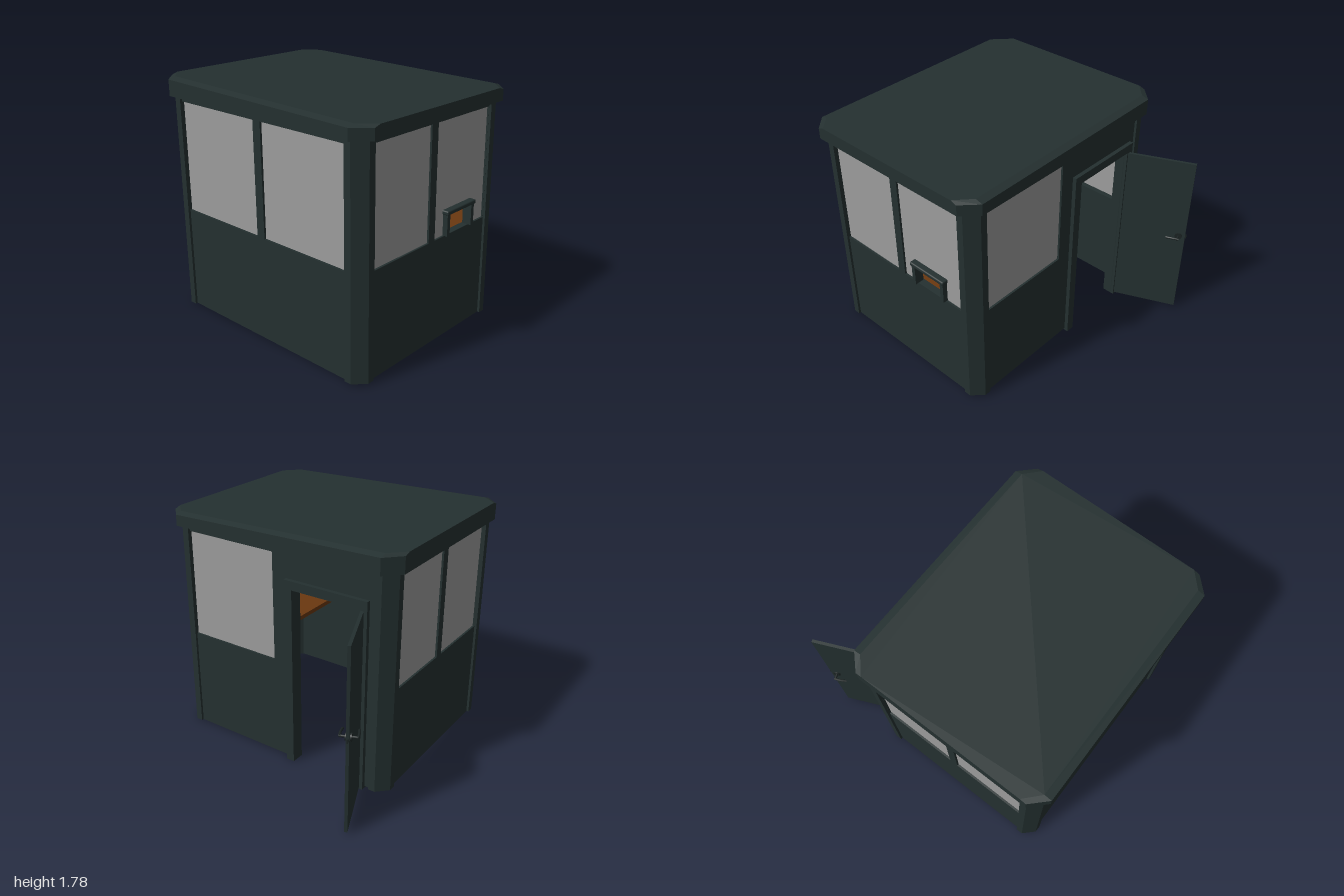
import * as THREE from 'three';
import { RoundedBoxGeometry } from 'three/addons/geometries/RoundedBoxGeometry.js';

const mat = (name, color, side = THREE.FrontSide) => {
  const m = new THREE.MeshStandardMaterial({ color, side });
  m.name = name;
  return m;
};

export function createModel() {
  const paint = mat('darkGreenPaint', 0x243030);
  const glass = mat('greyGlass', 0x9c9c9c, THREE.DoubleSide);
  const wood = mat('brownWood', 0x6b3810);
  const metal = mat('darkMetal', 0x1b2323);

  const model = new THREE.Group();
  model.name = 'guardBooth';

  const add = (parent, name, geometry, material, x = 0, y = 0, z = 0) => {
    const m = new THREE.Mesh(geometry, material);
    m.name = name;
    m.position.set(x, y, z);
    parent.add(m);
    return m;
  };
  // Box given by its limits on each axis
  const box = (parent, name, material, x0, x1, y0, y1, z0, z1) =>
    add(parent, name, new THREE.BoxGeometry(x1 - x0, y1 - y0, z1 - z0), material,
      (x0 + x1) / 2, (y0 + y1) / 2, (z0 + z1) / 2);
  const polygon = (pts) => new THREE.Shape(pts.map(([x, y]) => new THREE.Vector2(x, y)));
  const rect = (x0, x1, y0, y1) => polygon([[x0, y0], [x1, y0], [x1, y1], [x0, y1]]);
  // Extrude a ground plan (x, z) upwards from y = 0
  const plan = (pts, height) =>
    new THREE.ExtrudeGeometry(polygon(pts.map(([x, z]) => [x, -z])), { depth: height, bevelEnabled: false })
      .rotateX(-Math.PI / 2);

  // Body limits
  const cx = -0.01, cz = 0.217, hx = 0.915, hz = 0.74;
  const base = 0.016, eave = 1.645, inset = 0.018, thick = 0.055;
  const sill = 0.787, head = 1.605;

  // Chamfered corner posts
  for (const sx of [-1, 1]) for (const sz of [-1, 1]) {
    const profile = [[0, 0.08], [0.08, 0], [0.132, 0], [0.132, 0.06], [0.06, 0.132], [0, 0.132]];
    const pts = profile.map(([a, b]) => [cx + sx * (hx - a), cz + sz * (hz - b)]);
    add(model, 'cornerPost', plan(pts, eave - base), paint, 0, base, 0);
  }

  // Walls: local x runs along the wall, local z points outwards
  function wall(name, half, dist, angle, windows, door, hatch) {
    const g = new THREE.Group();
    g.name = name;
    g.position.set(cx, 0, cz);
    g.rotation.y = angle;
    const w = half - 0.07;
    const outline = door
      ? polygon([[-w, base], [door[0], base], [door[0], door[2]], [door[1], door[2]],
        [door[1], base], [w, base], [w, eave], [-w, eave]])
      : rect(-w, w, base, eave);
    for (const [a, b] of windows) outline.holes.push(rect(a, b, sill, head));
    const z0 = dist - inset - thick;
    add(g, name + 'Panel', new THREE.ExtrudeGeometry(outline, { depth: thick, bevelEnabled: false }),
      paint, 0, 0, z0);
    windows.forEach(([a, b], i) => {
      const pane = hatch && i === hatch.pane
        ? polygon([[a, sill], [hatch.a, sill], [hatch.a, hatch.top], [hatch.b, hatch.top],
          [hatch.b, sill], [b, sill], [b, head], [a, head]])
        : rect(a, b, sill, head);
      add(g, 'windowPane', new THREE.ShapeGeometry(pane), glass, 0, 0, z0 + thick - 0.015);
    });
    model.add(g);
    return g;
  }

  wall('frontWall', hx, hz, 0, [[-0.785, -0.035], [0.035, 0.785]]);

  // Side windows measured along z, turned into each wall's own direction
  const sideWindows = [[0.255, 0.825], [-0.39, 0.19]];
  wall('rightHandWall', hz, hx, -Math.PI / 2, sideWindows.map(([a, b]) => [a - cz, b - cz]));
  const hatch = { pane: 1, a: cz - 0.065, b: cz + 0.215, top: 0.95 };
  const hatchWall = wall('hatchWall', hz, hx, Math.PI / 2,
    sideWindows.map(([a, b]) => [cz - b, cz - a]), null, hatch);

  // Service hatch frame
  const hz0 = hx - 0.065, hz1 = hx + 0.005;
  box(hatchWall, 'hatchPost', paint, hatch.a - 0.015, hatch.a + 0.015, sill, 0.955, hz0, hz1);
  box(hatchWall, 'hatchPost', paint, hatch.b - 0.015, hatch.b + 0.015, sill, 0.955, hz0, hz1);
  add(hatchWall, 'hatchHeader', new RoundedBoxGeometry(0.33, 0.032, 0.09, 2, 0.01), paint,
    (hatch.a + hatch.b) / 2, 0.958, hx - 0.03);

  // Back wall with one window and the doorway
  wall('backWall', hx, hz, Math.PI, [[-0.785, -0.035]], [0.11, 0.715, 1.41]);

  // Door frame
  const doorFrame = new THREE.Group();
  doorFrame.name = 'doorFrame';
  model.add(doorFrame);
  box(doorFrame, 'doorPost', paint, -0.752, -0.692, 0, 1.44, -0.535, -0.435);
  box(doorFrame, 'doorPost', paint, -0.155, -0.09, 0, 1.44, -0.535, -0.435);
  box(doorFrame, 'doorHeader', paint, -0.692, -0.155, 1.375, 1.44, -0.535, -0.435);

  // Open door, swinging about its hinge
  const door = new THREE.Group();
  door.name = 'door';
  door.position.set(-0.7, 0, -0.503);
  door.rotation.y = Math.atan2(0.916, -0.4);
  model.add(door);
  box(door, 'doorLeaf', paint, 0, 0.53, base, 1.37, -0.011, 0.011);
  box(door, 'latch', metal, 0.53, 0.54, 0.705, 0.735, -0.005, 0.005);
  const spindle = new THREE.CylinderGeometry(0.009, 0.009, 0.125, 10).rotateX(Math.PI / 2);
  add(door, 'handleSpindle', spindle, metal, 0.48, 0.72, 0);
  for (const s of [-1, 1]) {
    const rose = new THREE.CylinderGeometry(0.027, 0.027, 0.012, 16).rotateX(Math.PI / 2);
    add(door, 'handleRose', rose, metal, 0.48, 0.72, s * 0.016);
    const lever = new THREE.CatmullRomCurve3([
      new THREE.Vector3(0.488, 0.72, s * 0.058),
      new THREE.Vector3(0.44, 0.722, s * 0.06),
      new THREE.Vector3(0.39, 0.718, s * 0.054)]);
    add(door, 'handleLever', new THREE.TubeGeometry(lever, 8, 0.009, 8), metal);
  }

  // Desk inside, under the hatch
  box(model, 'desk', wood, 0.33, 0.832, 0.735, 0.77, -0.449, 0.883);

  // Roof: chamfered slab whose top slopes down towards +x
  const [x0, x1, z0, z1, c] = [-0.96, 0.955, -0.56, 1.0, 0.11];
  const roofPlan = [[x0 + c, z0], [x1 - c, z0], [x1, z0 + c], [x1, z1 - c],
    [x1 - c, z1], [x0 + c, z1], [x0, z1 - c], [x0, z0 + c]];
  const slope = (x) => 1.78 - 0.021 * (x - x0);
  const slab = (low, high, squeeze) => {
    const g = plan(roofPlan, 1);
    const p = g.attributes.position;
    for (let i = 0; i < p.count; i++) {
      const top = p.getY(i) > 0.5;
      p.setY(i, top ? high(p.getX(i)) : low(p.getX(i)));
      if (top) p.setZ(i, 0.22 + (p.getZ(i) - 0.22) * squeeze);
    }
    g.computeVertexNormals();
    return g;
  };
  add(model, 'roofRim', slab(() => eave, (x) => slope(x) - 0.015, 1), paint);
  add(model, 'roofTop', slab((x) => slope(x) - 0.015, slope, 0.93), paint);

  return model;
}
